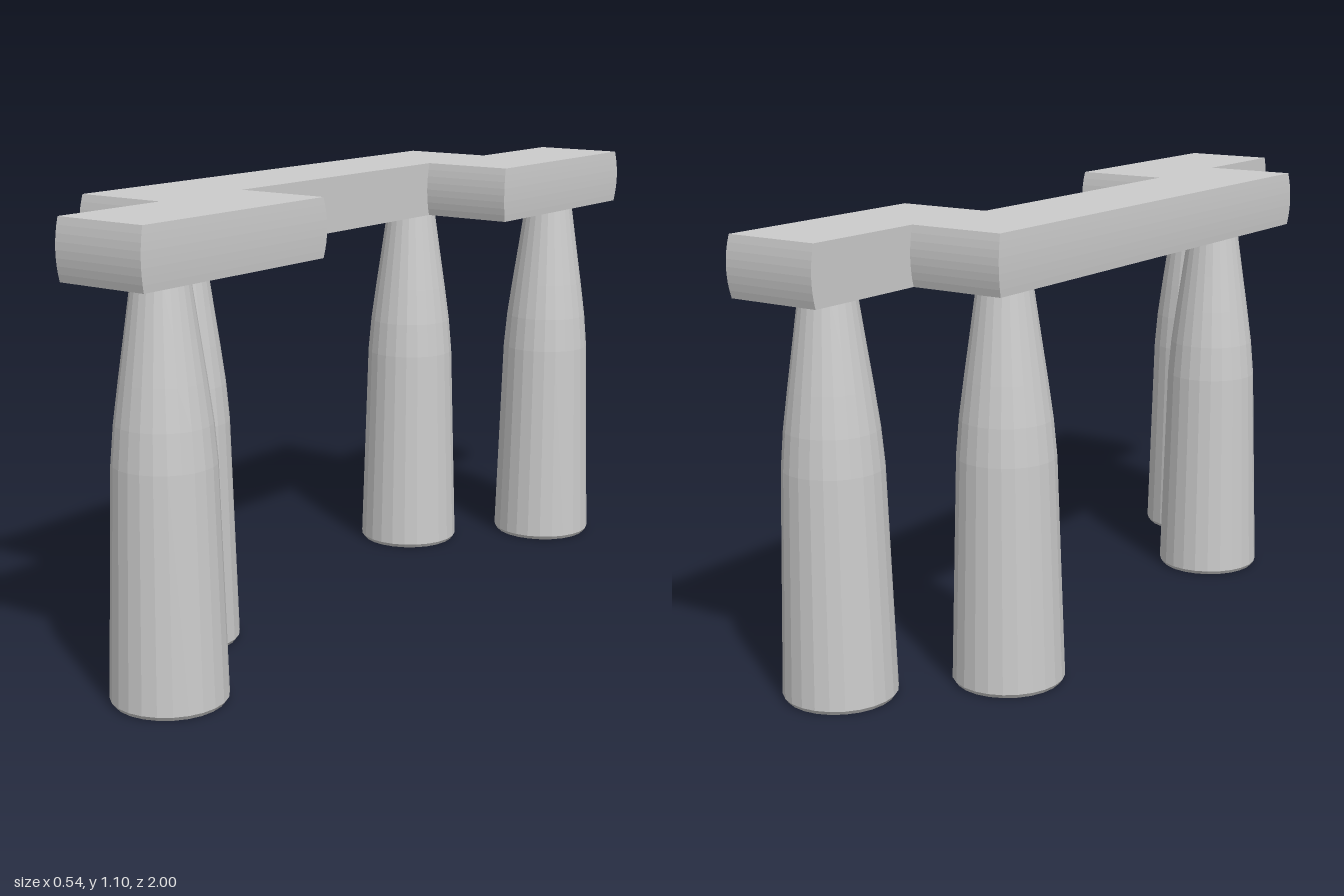
import * as THREE from 'three';

const material = new THREE.MeshStandardMaterial({ color: 0xcccccc, flatShading: true });

// Height range of the seat slabs
const SEAT_BOTTOM = 0.955, SEAT_TOP = 1.095;

// Slab whose end faces belly out slightly at mid height
function slab(name, x0, x1, z0, z1) {
  const h = SEAT_TOP - SEAT_BOTTOM, endBulge = 0.01, outerBulge = 0.003;
  const w = x1 - x0, d = z1 - z0 - 2 * endBulge;
  const geometry = new THREE.BoxGeometry(w, h, d, 1, 8, 1);
  const p = geometry.attributes.position;
  const outer = Math.sign(x0 + x1);
  for (let i = 0; i < p.count; i++) {
    const t = p.getY(i) / (h / 2);
    const swell = 1 - t * t;
    p.setZ(i, p.getZ(i) + Math.sign(p.getZ(i)) * endBulge * swell);
    if (Math.sign(p.getX(i)) === outer) p.setX(i, p.getX(i) + outer * outerBulge * swell);
  }
  geometry.computeVertexNormals();
  const mesh = new THREE.Mesh(geometry, material);
  mesh.name = name;
  mesh.position.set((x0 + x1) / 2, (SEAT_BOTTOM + SEAT_TOP) / 2, (z0 + z1) / 2);
  return mesh;
}

// Bottle-shaped leg profile: chamfered foot, gentle taper, curved shoulder
const legProfile = [
  [0, 0], [0.128, 0], [0.135, 0.01], [0.118, 0.55], [0.11, 0.64],
  [0.097, 0.735], [0.083, 0.83], [0.065, SEAT_BOTTOM], [0, SEAT_BOTTOM],
].map(([r, y]) => new THREE.Vector2(r, y));

export function createModel() {
  const model = new THREE.Group();
  model.name = 'bench';

  // Stepped seat: one long slab with an offset slab at each end
  const seat = new THREE.Group();
  seat.name = 'seat';
  seat.add(
    slab('middleSlab', -0.24, 0, -0.675, 0.685),
    slab('frontSlab', 0, 0.24, 0.38, 1),
    slab('backSlab', 0, 0.24, -1, -0.385),
  );
  model.add(seat);

  // Four turned legs
  const legGeometry = new THREE.LatheGeometry(legProfile, 24);
  const legs = [
    ['frontLeftLeg', 0.135, 0.825],
    ['frontRightLeg', -0.1, 0.51],
    ['backRightLeg', -0.135, -0.505],
    ['backLeftLeg', 0.135, -0.8],
  ];
  for (const [name, x, z] of legs) {
    const leg = new THREE.Mesh(legGeometry, material);
    leg.name = name;
    leg.position.set(x, 0, z);
    model.add(leg);
  }
  return model;
}
